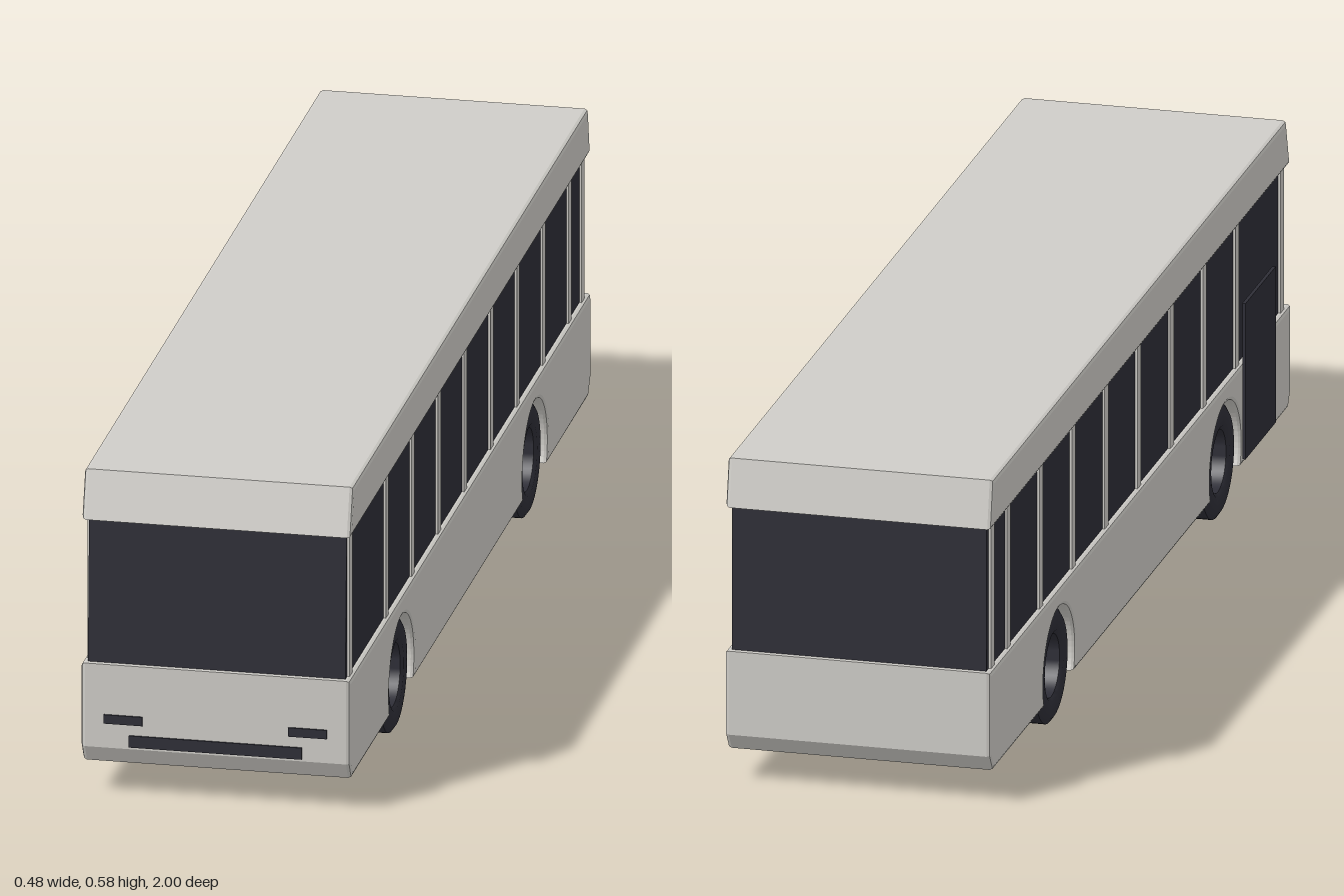
import * as THREE from 'three';
import { toCreasedNormals } from 'three/addons/utils/BufferGeometryUtils.js';

const material = (name, color) => {
  const m = new THREE.MeshStandardMaterial({ color });
  m.name = name;
  return m;
};

export function createModel() {
  const paint = material('body paint', 0xcfcdc8);
  const dark = material('dark glass and rubber', 0x2e2e37);
  const under = material('underbody', 0x2a2a2c);

  const bus = new THREE.Group();
  bus.name = 'bus';
  bus.position.x = 0.0065;

  const add = (name, geometry, mat, x = 0, y = 0, z = 0) => {
    const mesh = new THREE.Mesh(geometry, mat);
    mesh.name = name;
    mesh.position.set(x, y, z);
    bus.add(mesh);
    return mesh;
  };
  const box = (name, mat, w, h, d, x, y, z) => add(name, new THREE.BoxGeometry(w, h, d), mat, x, y, z);

  // Extrudes a (z, y) side profile across the width, centred on x = 0
  const across = (shape, width, bevel = 0) => {
    const g = new THREE.ExtrudeGeometry(shape, {
      depth: width - 2 * bevel, curveSegments: 20, bevelEnabled: bevel > 0,
      bevelSize: bevel, bevelThickness: bevel, bevelOffset: -bevel, bevelSegments: 2,
    });
    g.translate(0, 0, bevel - width / 2);
    g.rotateY(-Math.PI / 2);
    return g;
  };
  const polygon = (pts) => new THREE.Shape(pts.map(([z, y]) => new THREE.Vector2(z, y)));

  const wheelZ = [-0.54, 0.565];
  const floorY = 0.06, wheelY = 0.1, archR = 0.105;

  // Lower body with chamfered ends and round wheel arches
  const lower = new THREE.Shape();
  lower.moveTo(-0.98, floorY);
  const drop = Math.asin((wheelY - floorY) / archR);
  for (const z of wheelZ) {
    lower.lineTo(z - archR * Math.cos(drop), floorY);
    lower.absarc(z, wheelY, archR, Math.PI + drop, -drop, true);
  }
  lower.lineTo(0.98, floorY);
  lower.lineTo(0.997, 0.09);
  lower.lineTo(0.997, 0.24);
  lower.lineTo(-1, 0.24);
  lower.lineTo(-1, 0.09);
  lower.closePath();
  add('lowerBody', across(lower, 0.467, 0.007), paint);

  // Window band and roof
  add('windowBand', across(polygon([[-0.99, 0.235], [0.987, 0.235], [0.977, 0.5], [-0.987, 0.5]]), 0.447), dark);
  add('roof', across(polygon([[-0.995, 0.496], [0.99, 0.496], [0.967, 0.58], [-0.979, 0.58]]), 0.467, 0.007), paint);

  // Window pillars on both sides
  const pillarZ = [0.96, 0.66, 0.445, 0.228, 0.01, -0.207, -0.425, -0.64, -0.855, -0.962];
  for (const side of [-1, 1]) {
    for (const z of pillarZ) {
      box('windowPillar', paint, 0.012, 0.266, 0.024, side * 0.2215, 0.368, z);
    }
  }

  // Underside plates between the wheels, and the central floor
  const plates = [[-0.97, -0.655], [-0.425, 0.45], [0.68, 0.97]];
  for (const [a, b] of plates) {
    box('floorPlate', under, 0.435, 0.006, b - a, 0, 0.061, (a + b) / 2);
  }
  box('centralFloor', under, 0.33, 0.067, 1.9, 0, 0.0915, 0);

  // Wheels, with the inner wall of each wheel housing
  const tyre = toCreasedNormals(new THREE.LatheGeometry([
    [0.055, -0.022], [0.062, -0.027], [0.09, -0.027], [0.1, -0.02], [0.1, 0.02],
    [0.09, 0.027], [0.062, 0.027], [0.055, 0.022], [0.055, -0.022],
  ].map(([r, h]) => new THREE.Vector2(r, h)), 40), 0.7);
  tyre.rotateZ(Math.PI / 2);
  for (const z of wheelZ) {
    box('wheelHousing', paint, 0.33, 0.1, 0.24, 0, 0.175, z);
    for (const side of [-1, 1]) add('wheel', tyre, dark, side * 0.1965, wheelY, z);
  }

  // Front lamps and grille
  for (const side of [-1, 1]) {
    box('headlight', dark, 0.067, 0.016, 0.008, side * 0.16, 0.142, 0.996);
  }
  box('grille', dark, 0.3, 0.021, 0.008, 0, 0.1045, 0.996);

  // Passenger door panel on the model's right side
  box('door', dark, 0.006, 0.28, 0.2, -0.2475, 0.225, 0.73);

  const model = new THREE.Group();
  model.name = 'cityBus';
  model.add(bus);
  return model;
}
